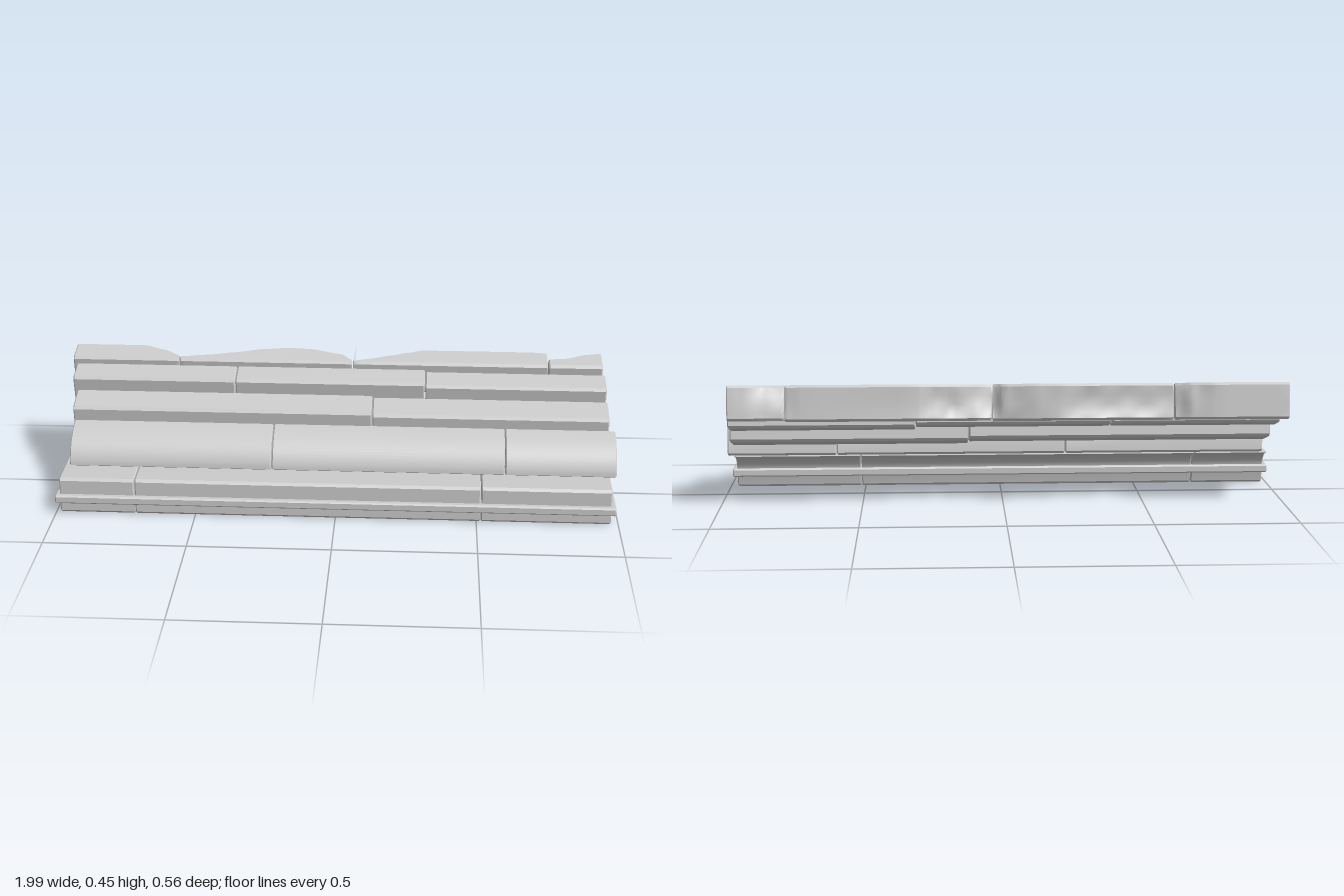
import * as THREE from 'three';
import { toCreasedNormals } from 'three/addons/utils/BufferGeometryUtils.js';

const BEVEL = 0.004, GAP = 0.0015, CREASE = 0.55;
const stone = new THREE.MeshStandardMaterial({ color: 0xcccccc });

// Cut the sharp corners of a [z, y] profile
function chamfer(points, r = 0.009) {
  const v = points.map(([z, y]) => new THREE.Vector2(z, y));
  return v.flatMap((p, i) => {
    const a = v[(i + v.length - 1) % v.length].clone().sub(p);
    const b = v[(i + 1) % v.length].clone().sub(p);
    const turn = Math.PI - Math.acos(THREE.MathUtils.clamp(a.dot(b) / (a.length() * b.length()), -1, 1));
    if (turn < 0.6) return [p];
    return [a, b].map(d => p.clone().addScaledVector(d, Math.min(r / d.length(), 0.3)));
  });
}

// One block: the profile run along x from x0 to x1 with bevelled ends
function block(name, profile, x0, x1, lift = 0, r) {
  const shape = new THREE.Shape(chamfer(profile, r).map(p => new THREE.Vector2(-p.x, p.y)));
  const geo = new THREE.ExtrudeGeometry(shape, {
    depth: x1 - x0 - 2 * (GAP + BEVEL), bevelEnabled: true, bevelSegments: 1,
    bevelSize: BEVEL, bevelThickness: BEVEL, bevelOffset: -BEVEL,
  });
  geo.rotateY(Math.PI / 2).translate(x0 + GAP + BEVEL, lift, 0);
  const mesh = new THREE.Mesh(toCreasedNormals(geo, CREASE), stone);
  mesh.name = name;
  return mesh;
}

// A row of blocks between successive joints
function course(name, profile, joints, lifts = []) {
  const row = new THREE.Group();
  row.name = name;
  for (let i = 0; i + 1 < joints.length; i++)
    row.add(block(name + 'Block' + (i + 1), profile, joints[i], joints[i + 1], lifts[i]));
  return row;
}

// Points along a quadratic curve
function arc(a, c, b, n = 10) {
  const v = p => new THREE.Vector2(...p);
  return new THREE.QuadraticBezierCurve(v(a), v(c), v(b)).getPoints(n).map(p => [p.x, p.y]);
}

// Block with a worn back; keys are [x, top, middle, bottom] wear as a share of its depth
function brokenBlock(name, keys, drop) {
  const mix = (a, b, t) => a.map((k, i) => k + (b[i] - k) * t);
  const frontBottom = [-0.188, 0.309 - drop], frontTop = [-0.167, 0.431];
  const backTop = [-0.266, 0.45], backBottom = [-0.281, 0.327 - drop];

  const ringAt = (x, top, middle, bottom, inset) => {
    const wob = 0.03 * Math.sin(x * 47) * Math.min(1, middle * 4);
    const at = (h, wear) => mix(mix(backTop, backBottom, h), mix(frontTop, frontBottom, h), wear);
    const ring = chamfer([frontBottom, frontTop, at(0, top), at(1, bottom)]);
    // Hollow between the two back edges
    ring.splice(6, 0, ...[0.3, 0.55, 0.78].map((h, i) => {
      const w = h < 0.55 ? (top + middle) / 2 : h < 0.6 ? middle : (middle + bottom) / 2;
      return new THREE.Vector2(...at(h, w + wob * (i - 1)));
    }));
    const c = ring.reduce((s, p) => s.add(p), new THREE.Vector2()).divideScalar(ring.length);
    return ring.map(p => {
      const q = p.clone();
      if (inset) q.lerp(c, Math.min(0.3, inset / q.distanceTo(c)));
      return new THREE.Vector3(x, q.y, q.x);
    });
  };

  const rings = [];
  const first = keys[0], last = keys[keys.length - 1];
  rings.push(ringAt(first[0] - BEVEL, ...first.slice(1), BEVEL));
  for (let k = 0; k + 1 < keys.length; k++) {
    for (let s = 0; s < 6; s++) {
      const t = s / 6, e = t * t * (3 - 2 * t);
      const wear = mix(keys[k].slice(1), keys[k + 1].slice(1), 0.5 * (t + e));
      rings.push(ringAt(keys[k][0] + (keys[k + 1][0] - keys[k][0]) * t, ...wear, 0));
    }
  }
  rings.push(ringAt(...last, 0));
  rings.push(ringAt(last[0] + BEVEL, ...last.slice(1), BEVEL));

  const n = rings[0].length, m = rings.length;
  const pos = rings.flat().flatMap(p => p.toArray()), index = [];
  for (let i = 0; i + 1 < m; i++)
    for (let j = 0; j < n; j++) {
      const a = i * n + j, b = i * n + (j + 1) % n;
      index.push(a, a + n, b + n, a, b + n, b);
    }
  // End caps
  [0, m - 1].forEach((i, side) => {
    const c = rings[i].reduce((s, p) => s.add(p), new THREE.Vector3()).divideScalar(n);
    const ci = pos.push(...c.toArray()) / 3 - 1;
    for (let j = 0; j < n; j++) {
      const a = i * n + j, b = i * n + (j + 1) % n;
      index.push(ci, ...(side ? [b, a] : [a, b]));
    }
  });
  const geo = new THREE.BufferGeometry();
  geo.setAttribute('position', new THREE.Float32BufferAttribute(pos, 3));
  geo.setIndex(index);
  const mesh = new THREE.Mesh(toCreasedNormals(geo, CREASE), stone);
  mesh.name = name;
  return mesh;
}

export function createModel() {
  const model = new THREE.Group();
  model.name = 'brokenStoneCornice';

  // Base course with a hollowed back
  model.add(course('base', [
    [0.263, 0.002], [0.263, 0.135], [0.03, 0.14], [0.028, 0.133],
    ...arc([0.065, 0.122], [0.098, 0.105], [0.107, 0.07], 8), [0.12, 0.002],
  ], [-0.985, -0.715, 0.515, 0.975]));

  // Thin projecting band
  model.add(block('band', [[0.282, 0.045], [0.282, 0.075], [0.093, 0.075], [0.093, 0.045]],
    -1, 0.99, 0, 0.005));

  // Quarter-round moulding
  model.add(course('quarterRound', [
    [0.011, 0.142], [0.163, 0.137], ...arc([0.161, 0.155], [0.138, 0.237], [0.027, 0.264], 14),
  ], [-0.965, -0.235, 0.6, 0.997]));

  // Two stepped, tilted courses
  model.add(course('lowerStep',
    [[0.012, 0.182], [0.028, 0.304], [-0.077, 0.335], [-0.097, 0.216]],
    [-0.97, 0.12, 0.975], [0.007, 0]));
  model.add(course('upperStep',
    [[-0.094, 0.256], [-0.073, 0.38], [-0.17, 0.402], [-0.189, 0.284]],
    [-0.985, -0.385, 0.31, 0.97], [0.008, 0.008, 0]));

  // Broken top course
  const top = new THREE.Group();
  top.name = 'brokenTop';
  [
    [[-0.994, 0, 0, 0], [-0.74, 0, 0, 0], [-0.66, 0.3, 0.15, 0.1], [-0.608, 0.65, 0.5, 0.4]],
    [[-0.596, 0.72, 0.8, 0.75], [-0.5, 0.58, 0.7, 0.58], [-0.4, 0.38, 0.5, 0.38],
      [-0.3, 0.12, 0.28, 0.14], [-0.2, 0, 0.04, 0], [-0.12, 0.05, 0.05, 0.08],
      [0, 0.38, 0.35, 0.36], [0.034, 0.72, 0.65, 0.5]],
    [[0.046, 0.82, 0.78, 0.55], [0.1, 0.65, 0.6, 0.46], [0.18, 0.4, 0.55, 0.4],
      [0.24, 0.2, 0.28, 0.16], [0.3, 0, 0.03, 0], [0.7, 0, 0, 0], [0.755, 0.05, 0.08, 0.04]],
    [[0.767, 0.45, 0.22, 0.12], [0.83, 0.38, 0.15, 0.1], [0.9, 0.1, 0.05, 0.02], [0.955, 0, 0, 0]],
  ].forEach((keys, i) => top.add(brokenBlock('brokenTopBlock' + (i + 1), keys, [0.006, 0.006, 0.004, 0][i])));
  model.add(top);

  return model;
}
